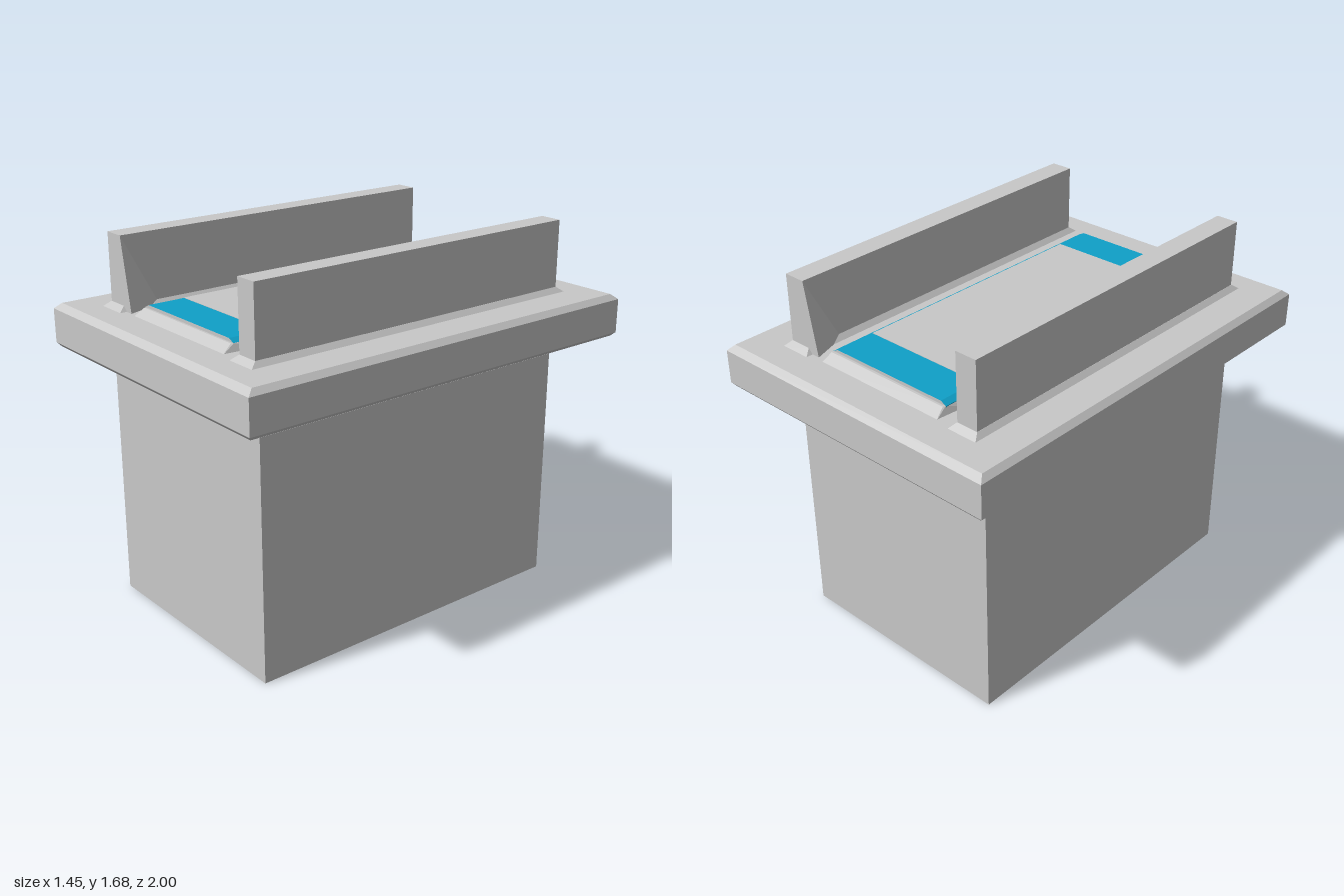
import * as THREE from 'three';
import { ConvexGeometry } from 'three/addons/geometries/ConvexGeometry.js';

const grey = new THREE.MeshStandardMaterial({ color: 0xc8c8c8 });
grey.name = 'light grey';
const dark = new THREE.MeshStandardMaterial({ color: 0x747474 });
dark.name = 'dark grey';
const blue = new THREE.MeshStandardMaterial({ color: 0x0fa0c8 });
blue.name = 'blue';

// Ring [halfX, halfZ, y, cutX, cutZ]: a rectangle, or an octagon when cuts are given
function ringPoints([x, z, y, cx, cz]) {
  const flat = cx === undefined
    ? [[-x, z], [x, z], [x, -z], [-x, -z]]
    : [[-x + cx, z], [x - cx, z], [x, z - cz], [x, -z + cz],
       [x - cx, -z], [-x + cx, -z], [-x, -z + cz], [-x, z - cz]];
  return flat.map(([px, pz]) => [px, y, pz]);
}

// Flat-faced solid through a stack of rings, capped at both ends
function loft(rings) {
  const pos = [];
  const tri = (a, b, c) => pos.push(...a, ...b, ...c);
  const loops = rings.map(ringPoints);
  const n = loops[0].length;
  for (let i = 0; i + 1 < loops.length; i++) {
    for (let j = 0; j < n; j++) {
      const k = (j + 1) % n;
      const [lo, up] = [loops[i], loops[i + 1]];
      tri(lo[j], lo[k], up[k]);
      tri(lo[j], up[k], up[j]);
    }
  }
  const first = loops[0], last = loops[loops.length - 1];
  for (let j = 1; j + 1 < n; j++) {
    tri(first[0], first[j + 1], first[j]);
    tri(last[0], last[j], last[j + 1]);
  }
  const g = new THREE.BufferGeometry();
  g.setAttribute('position', new THREE.Float32BufferAttribute(pos, 3));
  g.computeVertexNormals();
  return g;
}

function add(parent, name, geometry, material, x = 0, y = 0, z = 0) {
  const m = new THREE.Mesh(geometry, material);
  m.name = name;
  m.position.set(x, y, z);
  parent.add(m);
  return m;
}

// Box given by its limits
function box(parent, name, material, [x0, x1], [y0, y1], [z0, z1]) {
  return add(parent, name, new THREE.BoxGeometry(x1 - x0, y1 - y0, z1 - z0), material,
    (x0 + x1) / 2, (y0 + y1) / 2, (z0 + z1) / 2);
}

export function createModel() {
  const model = new THREE.Group();
  model.name = 'pedestal';

  box(model, 'base', grey, [-0.535, 0.53], [0, 1.073], [-0.785, 0.82]);
  box(model, 'neck', dark, [-0.325, 0.315], [1.073, 1.2], [-0.62, 0.655]);

  // Bevelled plate with a shallow recess underneath
  add(model, 'topPlate', loft([
    [0.58, 0.86, 1.2], [0.58, 0.86, 1.16], [0.705, 0.985, 1.16], [0.723, 1, 1.178],
    [0.723, 1, 1.33], [0.7, 0.97, 1.354],
  ]), grey);

  // Raised pad with sloping edges
  add(model, 'pad', loft([
    [0.35, 0.84, 1.345, 0.02, 0.19], [0.32, 0.785, 1.385, 0.005, 0.01],
  ]), grey, -0.003, 0, 0.004);

  // Blue slab with bevelled long sides and plain ends
  const profile = new THREE.Shape([[-0.32, 1.375], [0.32, 1.375], [0.32, 1.385], [0.293, 1.399],
    [-0.293, 1.399], [-0.32, 1.385]].map(([x, y]) => new THREE.Vector2(x, y)));
  const slab = new THREE.ExtrudeGeometry(profile, { depth: 1.55, bevelEnabled: false });
  add(model, 'blueSlab', slab, [grey, blue], -0.005, 0, -0.77);
  box(model, 'centrePanel', grey, [-0.298, 0.288], [1.396, 1.401], [-0.58, 0.607]);

  // Two rails, each the other turned half way round
  for (const side of ['right', 'left']) {
    const rail = new THREE.Group();
    rail.name = side + 'Rail';
    rail.position.set(-0.002, 0, 0.007);
    if (side === 'left') rail.rotation.y = Math.PI;
    box(rail, 'wall', grey, [-0.523, -0.422], [1.35, 1.677], [-0.818, 0.818]);
    // Flared foot at one inner corner
    add(rail, 'flare', new ConvexGeometry([
      new THREE.Vector3(-0.422, 1.677, 0.818), new THREE.Vector3(-0.363, 1.354, 0.818),
      new THREE.Vector3(-0.422, 1.354, 0.818), new THREE.Vector3(-0.422, 1.354, 0.645),
    ]), grey);
    // Low skirt around the foot of the wall
    add(rail, 'skirt', loft([[0.075, 0.855, 1.35], [0.051, 0.819, 1.376]]), grey, -0.473);
    model.add(rail);
  }
  return model;
}
